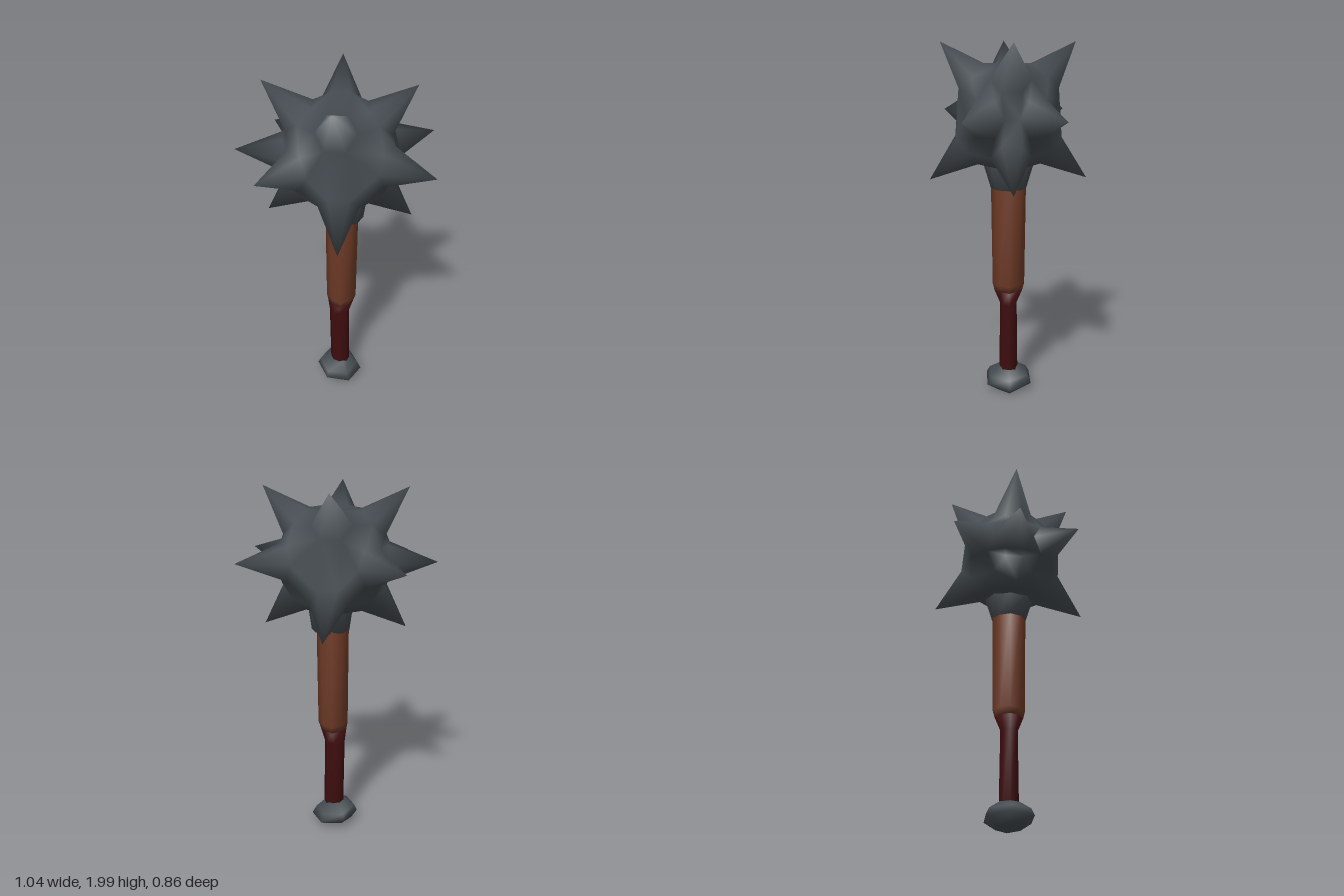
import * as THREE from 'three';
import { mergeVertices } from 'three/addons/utils/BufferGeometryUtils.js';
import { ConvexGeometry } from 'three/addons/geometries/ConvexGeometry.js';

const iron = new THREE.MeshStandardMaterial({ color: 0x454c51 });
iron.name = 'dark iron';
const wood = new THREE.MeshStandardMaterial({ color: 0x6b3825 });
wood.name = 'brown wood';
const leather = new THREE.MeshStandardMaterial({ color: 0x400e10 });
leather.name = 'dark red leather';

// Stack of closed rings, bottom to top: [y, centre x, radius x, radius z, diagonal roundness, tilt]
function loft(name, rings, sides, material, turn = 0) {
  const pos = [], index = [];
  const push = (x, y, z) => pos.push(x, y, z);
  for (const [y, cx, rx, rz, round = 1, tilt = 0] of rings) {
    for (let i = 0; i < sides; i++) {
      const a = (i / sides) * Math.PI * 2 + turn;
      const k = 1 - (1 - round) * Math.abs(Math.sin(2 * a));
      const x = Math.cos(a) * rx * k;
      push(cx + x, y + tilt * x, Math.sin(a) * rz * k);
    }
  }
  for (let r = 0; r < rings.length - 1; r++) {
    for (let i = 0; i < sides; i++) {
      const a = r * sides + i, b = r * sides + (i + 1) % sides;
      index.push(a, a + sides, b, b, a + sides, b + sides);
    }
  }
  // end caps
  const top = rings[rings.length - 1], n = pos.length / 3, last = (rings.length - 1) * sides;
  push(rings[0][1], rings[0][0], 0);
  push(top[1], top[0], 0);
  for (let i = 0; i < sides; i++) {
    const j = (i + 1) % sides;
    index.push(n, i, j, n + 1, last + j, last + i);
  }
  const g = new THREE.BufferGeometry();
  g.setAttribute('position', new THREE.Float32BufferAttribute(pos, 3));
  g.setIndex(index);
  g.computeVertexNormals();
  const mesh = new THREE.Mesh(g, material);
  mesh.name = name;
  return mesh;
}

// Ball whose skin is drawn out into spikes
function spikedHead() {
  const centre = new THREE.Vector3(0.03, 1.61, 0);
  const tips = [
    [-0.36, 2.0, 0], [0.41, 2.0, 0], [0.02, 2.0, 0.36], [0.02, 2.0, -0.36],
    [-0.52, 1.61, 0], [-0.36, 1.61, 0.35], [-0.36, 1.61, -0.35],
    [0.52, 1.63, 0.255], [0.52, 1.63, -0.255],
    [-0.36, 1.25, 0], [0.42, 1.25, 0], [0.05, 1.27, 0.43], [0.05, 1.27, -0.43],
  ];
  const sides = 6, spread = THREE.MathUtils.degToRad(20), radius = 0.31;
  const dirs = [], targets = [];
  const up = new THREE.Vector3(0, 1, 0);
  for (const t of tips) {
    const tip = new THREE.Vector3(...t);
    const d = tip.clone().sub(centre).normalize();
    dirs.push(d);
    targets.push(tip);
    const u = new THREE.Vector3().crossVectors(up, d).normalize();
    const v = new THREE.Vector3().crossVectors(d, u);
    // ring of base points around the spike
    for (let i = 0; i < sides; i++) {
      const a = (i / sides) * Math.PI * 2;
      const p = d.clone().multiplyScalar(Math.cos(spread))
        .addScaledVector(u, Math.cos(a) * Math.sin(spread))
        .addScaledVector(v, Math.sin(a) * Math.sin(spread)).normalize();
      dirs.push(p);
      targets.push(p.clone().multiplyScalar(radius).add(centre));
    }
  }
  // the hull of the directions gives the faces; then each point moves to its place
  let g = new ConvexGeometry(dirs);
  const pos = g.attributes.position, q = new THREE.Vector3();
  for (let i = 0; i < pos.count; i++) {
    q.fromBufferAttribute(pos, i);
    let best = 0;
    for (let j = 1; j < dirs.length; j++) {
      if (q.distanceToSquared(dirs[j]) < q.distanceToSquared(dirs[best])) best = j;
    }
    pos.setXYZ(i, targets[best].x, targets[best].y, targets[best].z);
  }
  g.deleteAttribute('normal');
  g = mergeVertices(g);
  g.computeVertexNormals();
  const mesh = new THREE.Mesh(g, iron);
  mesh.name = 'spikedHead';
  return mesh;
}

export function createModel() {
  const model = new THREE.Group();
  model.name = 'spikedMace';
  model.add(
    spikedHead(),
    // collar under the head
    loft('collar', [
      [1.22, 0.055, 0.105, 0.098],
      [1.36, 0.055, 0.125, 0.14],
      [1.45, 0.05, 0.13, 0.15],
    ], 8, iron),
    // wooden shaft, narrowing into the grip
    loft('shaft', [
      [0.62, 0.04, 0.075, 0.08, 0.85],
      [0.66, 0.043, 0.085, 0.09, 0.85],
      [1.25, 0.043, 0.09, 0.097, 0.98],
    ], 8, wood),
    // leather grip
    loft('grip', [
      [0.12, 0.04, 0.057, 0.053],
      [0.54, 0.033, 0.058, 0.048],
      [0.62, 0.04, 0.075, 0.08, 0.85],
    ], 8, leather),
    // faceted pommel, slightly tilted
    loft('pommel', [
      [0.02, 0.035, 0.1, 0.075, 1, -0.08],
      [0.065, 0.035, 0.135, 0.145, 1, -0.12],
      [0.105, 0.03, 0.115, 0.125, 1, -0.08],
      [0.148, 0.03, 0.06, 0.06],
    ], 6, iron),
  );
  return model;
}
